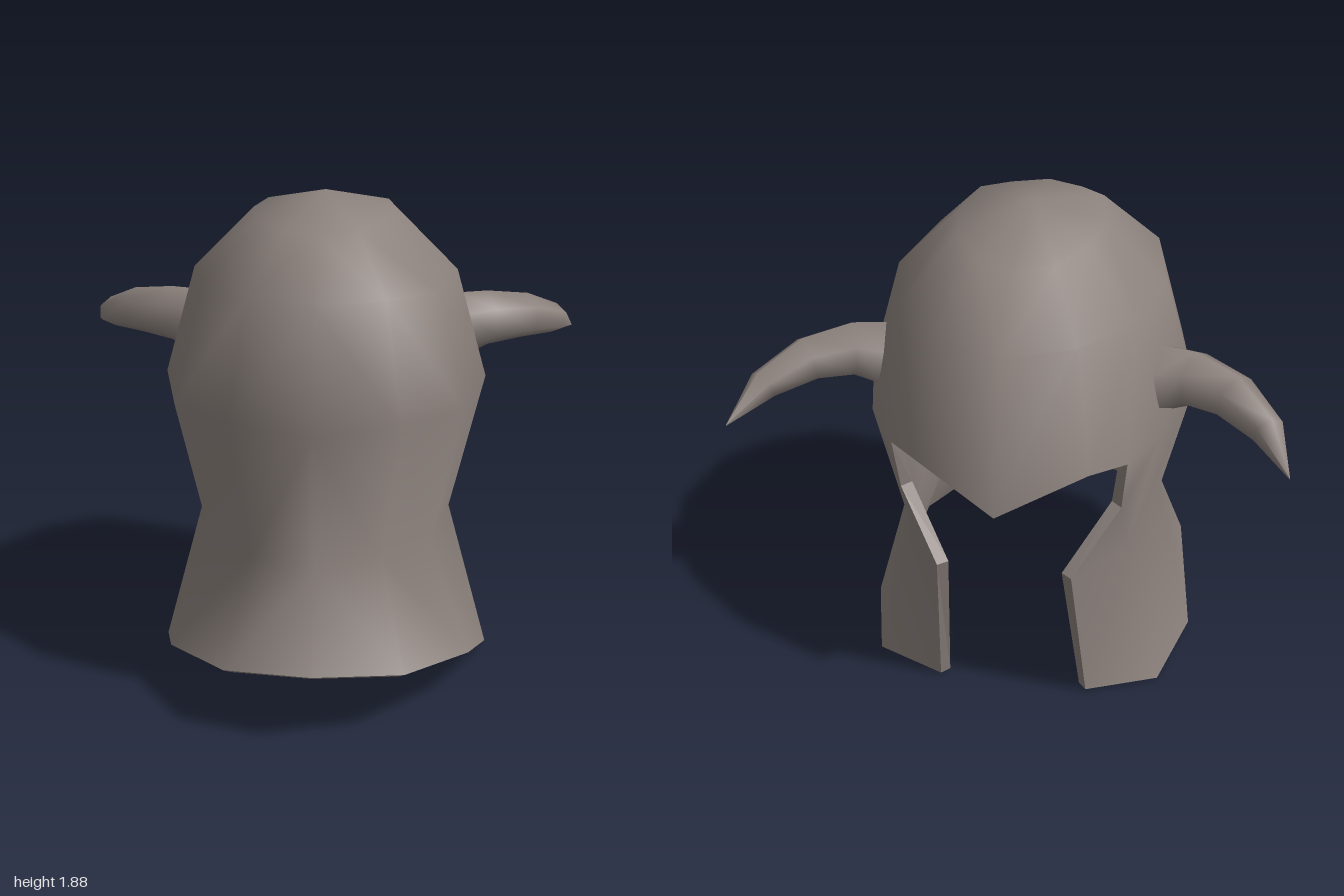
import * as THREE from 'three';
import { mergeVertices } from 'three/addons/utils/BufferGeometryUtils.js';

const THICK = 0.045;

function fromPoints(list) {
  const g = new THREE.BufferGeometry();
  g.setAttribute('position', new THREE.Float32BufferAttribute(list.flat(), 3));
  return g;
}

// Outer skin: half rings from the closed side (+z) round to the peak (-z), mirrored in x
function outerSkin() {
  const outline = [[0, 0.73], [0.31, 0.59], [0.53, 0.38], [0.62, -0.05], [0.53, -0.42], [0.31, -0.69], [0, -0.83]];
  const ring = (sx, sz, y) => outline.map(([x, z], k) =>
    [x * sx, Array.isArray(y) ? y[k] : y, -0.05 + (z + 0.05) * sz]);
  const apex = [0, 1.89, -0.05];
  const rows = [
    ring(0.44, 0.51, [1.79, 1.8, 1.82, 1.82, 1.82, 1.8, 1.79]),
    ring(0.81, 0.86, [1.61, 1.6, 1.59, 1.59, 1.59, 1.6, 1.61]),
    ring(1, 1, [1.17, 1.17, 1.17, 1.17, 1.17, 1.15, 1.03]),
    ring(0.79, 0.87, 0.63),
    [[0, 0.3, 0.83], [0.33, 0.26, 0.71], [0.57, 0.2, 0.39], [0.65, 0.04, -0.05], [0.56, 0.015, -0.39], [0.29, 0.01, -0.5]],
  ];
  rows[3][5] = [0.25, 0.67, -0.66]; // forward corner of the cheek guard
  const browEnd = [0.43, 1.12, -0.55], eyeNotch = [0.41, 0.91, -0.52];

  const pts = [];
  const face = (...p) => { // polygon fan plus its mirror image
    for (let i = 1; i < p.length - 1; i++) {
      const tri = [p[0], p[i], p[i + 1]];
      pts.push(...tri, ...tri.map(([x, y, z]) => [-x, y, z]).reverse());
    }
  };
  const lastColumn = [6, 6, 4, 5];
  for (let c = 0; c < 6; c++) face(apex, rows[0][c], rows[0][c + 1]);
  for (let r = 0; r < 4; r++) {
    for (let c = 0; c < lastColumn[r]; c++) {
      if (r === 1 && c === 4) face(rows[1][4], rows[2][4], browEnd, rows[2][5], rows[1][5]);
      else face(rows[r][c], rows[r + 1][c], rows[r + 1][c + 1], rows[r][c + 1]);
    }
  }
  // Cheek around the eye notch
  face(rows[2][4], rows[3][4], eyeNotch, browEnd);
  face(rows[3][4], rows[3][5], eyeNotch);

  const g = mergeVertices(fromPoints(pts), 1e-4);
  g.computeVertexNormals();
  return g;
}

// Lining: the skin pushed inwards and turned over
function liningOf(skin) {
  const g = skin.clone();
  const p = g.attributes.position, n = skin.attributes.normal;
  for (let i = 0; i < p.count; i++) {
    p.setXYZ(i, p.getX(i) - n.getX(i) * THICK, p.getY(i) - n.getY(i) * THICK, p.getZ(i) - n.getZ(i) * THICK);
  }
  g.setIndex([...skin.index.array].reverse());
  g.computeVertexNormals();
  return g;
}

// Rim: joins skin and lining along every open edge
function rimOf(skin, lining) {
  const idx = skin.index.array, edges = new Set();
  const at = (g, i) => new THREE.Vector3().fromBufferAttribute(g.attributes.position, i).toArray();
  for (let i = 0; i < idx.length; i++) {
    edges.add(idx[i] + '_' + idx[i % 3 === 2 ? i - 2 : i + 1]);
  }
  const pts = [];
  for (const e of edges) {
    const [a, b] = e.split('_').map(Number);
    if (edges.has(b + '_' + a)) continue;
    const A = at(skin, a), B = at(skin, b), a2 = at(lining, a), b2 = at(lining, b);
    pts.push(B, A, a2, B, a2, b2);
  }
  const g = fromPoints(pts);
  g.computeVertexNormals();
  return g;
}

// Six-sided horn, tapering along a curved path; s = 1 left, -1 right
function hornGeometry(s) {
  const path = [[0.53, 1.32, -0.26], [0.63, 1.34, -0.285], [0.78, 1.33, -0.37], [0.91, 1.285, -0.505], [1, 1.21, -0.68]]
    .map((p) => new THREE.Vector3(...p));
  const radii = [0.13, 0.11, 0.09, 0.06, 0.002], sides = 6;
  const rings = path.map((c, i) => {
    const t = path[Math.min(i + 1, 4)].clone().sub(path[Math.max(i - 1, 0)]).normalize();
    const across = new THREE.Vector3().crossVectors(t, new THREE.Vector3(0, 1, 0)).normalize();
    const up = new THREE.Vector3().crossVectors(across, t);
    return Array.from({ length: sides }, (_, k) => {
      const a = (k / sides) * Math.PI * 2;
      const v = c.clone().addScaledVector(up, Math.cos(a) * radii[i]).addScaledVector(across, Math.sin(a) * radii[i]);
      return [Math.min(v.x, 1) * s, v.y, v.z];
    });
  });
  const pts = [];
  const tri = (a, b, c) => pts.push(...(s > 0 ? [a, b, c] : [c, b, a]));
  for (let i = 0; i < 4; i++) {
    for (let k = 0; k < sides; k++) {
      const n = (k + 1) % sides;
      tri(rings[i][k], rings[i][n], rings[i + 1][n]);
      tri(rings[i][k], rings[i + 1][n], rings[i + 1][k]);
    }
  }
  const g = mergeVertices(fromPoints(pts), 1e-4);
  g.computeVertexNormals();

  const cap = [];
  for (let k = 1; k < sides - 1; k++) {
    const t = [rings[0][0], rings[0][k + 1], rings[0][k]];
    cap.push(...(s > 0 ? t : t.reverse()));
  }
  const base = fromPoints(cap);
  base.computeVertexNormals();
  return [g, base];
}

export function createModel() {
  const metal = new THREE.MeshStandardMaterial({ color: 0x8c827d });
  metal.name = 'warm grey metal';
  const model = new THREE.Group();
  model.name = 'hornedHelmet';
  const add = (geometry, name, parent = model) => {
    const m = new THREE.Mesh(geometry, metal);
    m.name = name;
    parent.add(m);
  };

  const skin = outerSkin(), lining = liningOf(skin);
  add(skin, 'shell');
  add(lining, 'lining');
  add(rimOf(skin, lining), 'rim');

  for (const [s, name] of [[1, 'leftHorn'], [-1, 'rightHorn']]) {
    const horn = new THREE.Group();
    horn.name = name;
    const [body, base] = hornGeometry(s);
    add(body, 'hornBody', horn);
    add(base, 'hornBase', horn);
    model.add(horn);
  }
  return model;
}
